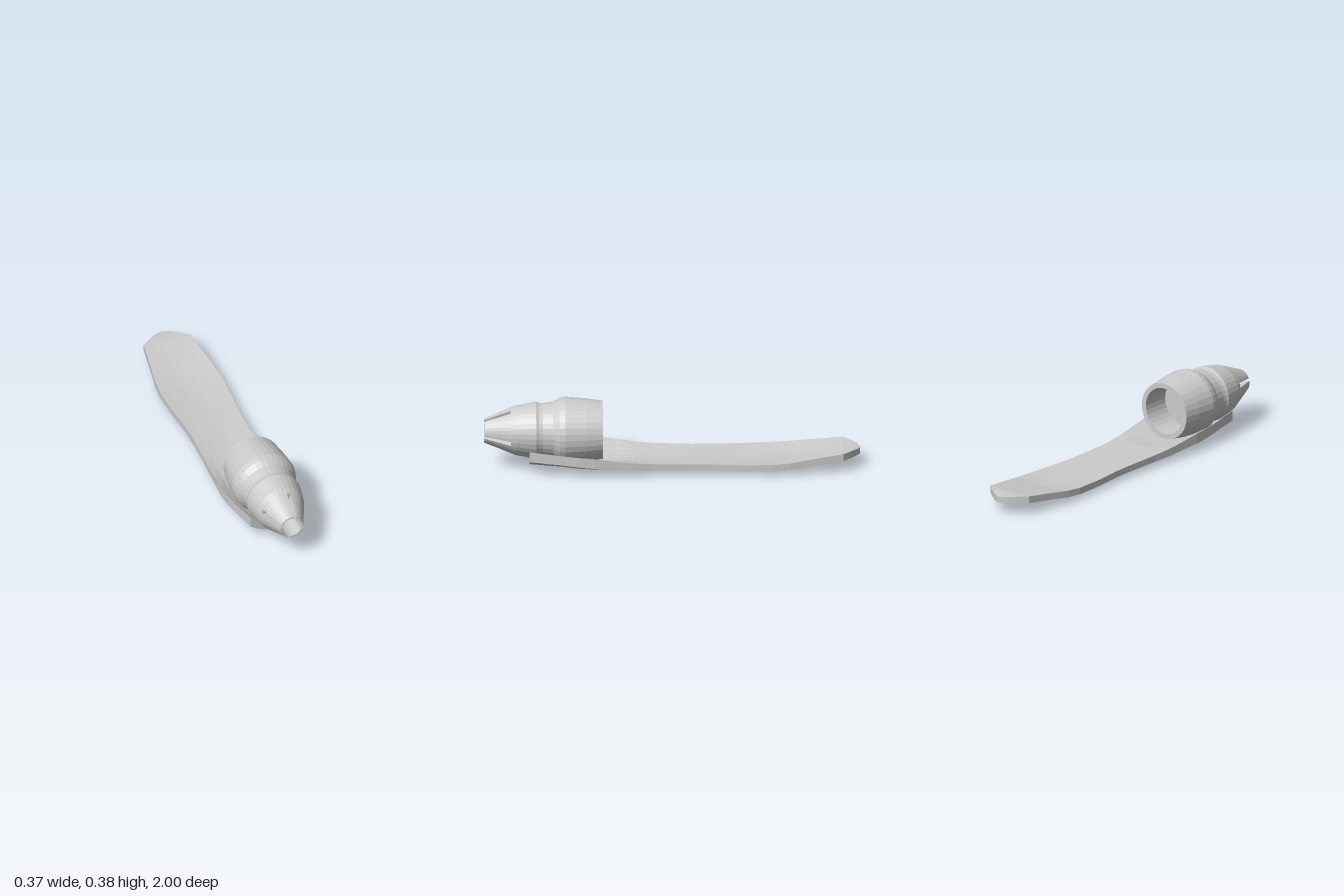
import * as THREE from 'three';

const AXIS_Y = 0.208; // height of the barrel axis
const rad = THREE.MathUtils.degToRad;
const material = new THREE.MeshStandardMaterial({ color: 0xcccccc, flatShading: true });
const thinMaterial = new THREE.MeshStandardMaterial({ color: 0xcccccc, flatShading: true, side: THREE.DoubleSide });

function addMesh(parent, name, geometry, mat = material) {
  const mesh = new THREE.Mesh(geometry, mat);
  mesh.name = name;
  parent.add(mesh);
  return mesh;
}

const toPoints = (list) => list.map(([r, z]) => new THREE.Vector2(r, z));

// Turned barrel with an open rear socket and a slotted nose
function createBarrel() {
  const barrel = new THREE.Group();
  barrel.name = 'barrel';
  const profile = toPoints([
    [0, 0.53], [0.128, 0.53], [0.128, 0.37], [0.155, 0.37], [0.168, 0.46], [0.178, 0.57],
    [0.172, 0.6], [0.152, 0.635], [0.144, 0.69], [0.146, 0.71], [0.152, 0.725],
    [0.133, 0.83], [0.121, 0.86], [0, 0.86],
  ]);
  addMesh(barrel, 'barrelBody', new THREE.LatheGeometry(profile, 32));

  // Four jaws leave four narrow slots between them
  const jaw = toPoints([[0.121, 0.86], [0.064, 1], [0.057, 1], [0.057, 0.86]]);
  const halfSlot = 6;
  for (let i = 0; i < 4; i++) {
    const slot = 73 + i * 90;
    const start = rad(slot + halfSlot + 90);
    addMesh(barrel, 'noseJaw', new THREE.LatheGeometry(jaw, 8, start, rad(90 - 2 * halfSlot)));
    for (const side of [-1, 1]) {
      const wall = addMesh(barrel, 'slotWall', new THREE.ShapeGeometry(new THREE.Shape(jaw)), thinMaterial);
      wall.rotation.y = rad(slot + side * halfSlot);
    }
  }
  barrel.rotation.x = Math.PI / 2;
  barrel.position.y = AXIS_Y;
  return barrel;
}

// Curved strip lofted through cross-sections from front to back
function createHandleGeometry() {
  // z, half width, top edge, bottom edge, top middle, bottom middle
  const sections = [
    [0.76, 0.145, 0.136, 0.08, 0.06, 0.026],
    [0.6, 0.174, 0.124, 0.072, 0.045, 0.016],
    [0.5, 0.184, 0.116, 0.062, 0.04, 0.004],
    [0.42, 0.186, 0.11, 0.054, 0.04, 0.003],
    [0.3, 0.177, 0.09, 0.045, 0.045, 0.013],
    [0.2, 0.17, 0.077, 0.036, 0.055, 0.02],
    [0.1, 0.162, 0.07, 0.033, 0.055, 0.023],
    [-0.1, 0.156, 0.066, 0.031, 0.055, 0.02],
    [-0.2, 0.157, 0.065, 0.03, 0.054, 0.018],
    [-0.37, 0.17, 0.063, 0.028, 0.052, 0.014],
    [-0.54, 0.178, 0.066, 0.03, 0.054, 0.017],
    [-0.63, 0.172, 0.073, 0.036, 0.061, 0.022],
    [-0.75, 0.155, 0.089, 0.052, 0.08, 0.042],
    [-0.84, 0.143, 0.1, 0.062, 0.095, 0.057],
    [-0.91, 0.134, 0.109, 0.07, 0.106, 0.066],
    [-0.95, 0.088, 0.108, 0.07, 0.106, 0.067],
    [-0.98, 0.05, 0.105, 0.069, 0.105, 0.068],
    [-1, 0.012, 0.102, 0.068, 0.102, 0.068],
  ];
  const n = 8; // strips across the width
  const count = 2 * (n + 1);
  const positions = [];
  const indices = [];
  for (const [z, w, topEdge, bottomEdge, topMid, bottomMid] of sections) {
    for (let j = 0; j < count; j++) {
      const top = j <= n;
      const u = (2 * (top ? j : count - 1 - j)) / n - 1;
      const [mid, edge] = top ? [topMid, topEdge] : [bottomMid, bottomEdge];
      positions.push(w * u, mid + (edge - mid) * Math.abs(u) ** 1.7, z);
    }
  }
  const quad = (a, b, c, d) => indices.push(a, b, c, a, c, d);
  for (let i = 0; i < sections.length - 1; i++) {
    for (let j = 0; j < count; j++) {
      const k = (j + 1) % count;
      quad(i * count + j, i * count + k, (i + 1) * count + k, (i + 1) * count + j);
    }
  }
  // End caps
  const last = (sections.length - 1) * count;
  for (let j = 0; j < n; j++) {
    const low = count - 1 - j;
    quad(j, low, low - 1, j + 1);
    quad(last + j, last + j + 1, last + low - 1, last + low);
  }
  const geometry = new THREE.BufferGeometry();
  geometry.setAttribute('position', new THREE.Float32BufferAttribute(positions, 3));
  geometry.setIndex(indices);
  geometry.computeVertexNormals();
  return geometry;
}

export function createModel() {
  const model = new THREE.Group();
  model.name = 'barrelWithHandle';
  model.add(createBarrel());
  addMesh(model, 'handle', createHandleGeometry());
  return model;
}
